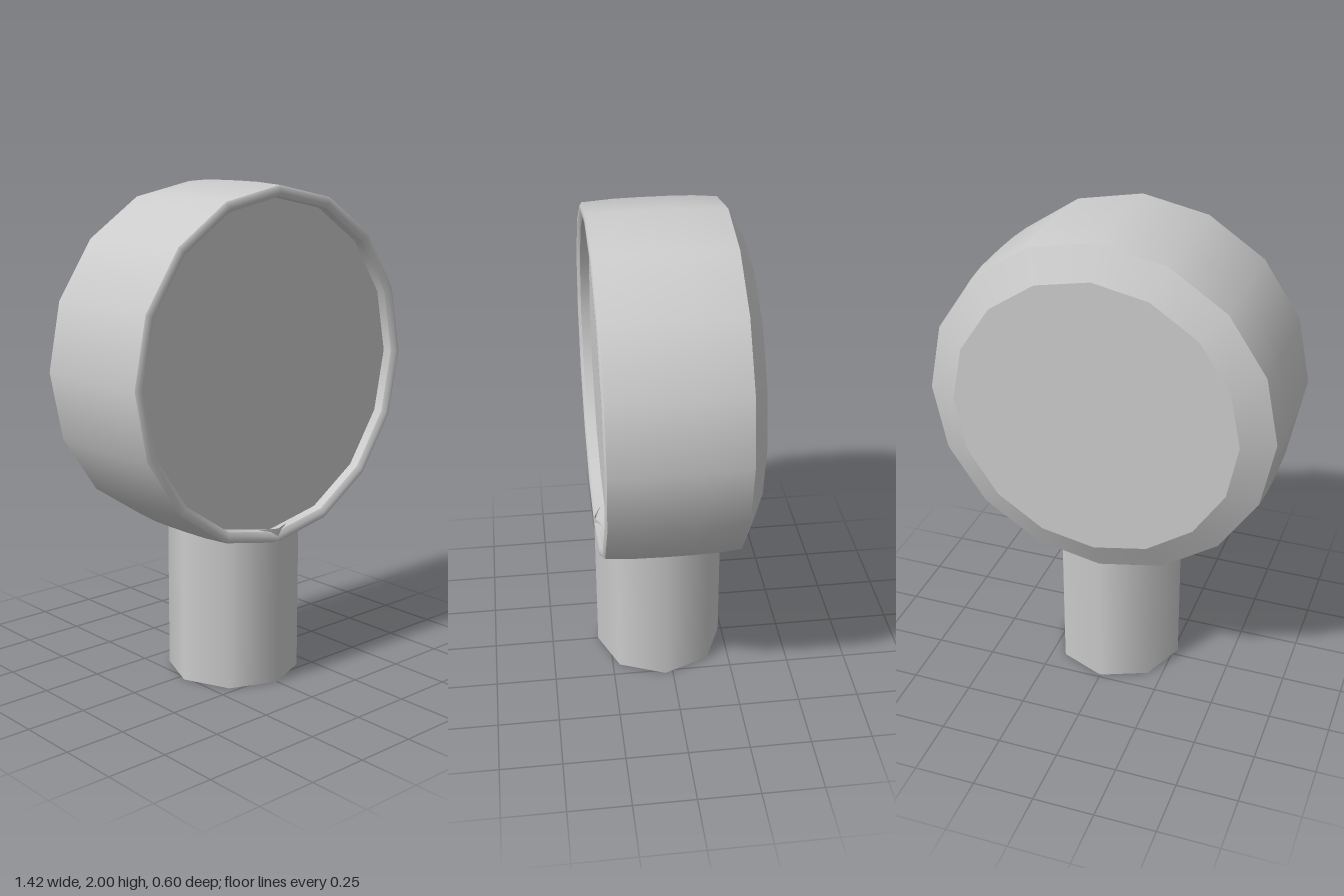
import * as THREE from 'three';

const SIDES = 16;
const CENTRE_Y = 1.29;

export function createModel() {
  const model = new THREE.Group();
  const material = new THREE.MeshStandardMaterial({ color: 0xcccccc, side: THREE.DoubleSide });

  const head = new THREE.Group();
  head.name = 'head';
  head.position.y = CENTRE_Y;
  model.add(head);

  // Each band is a [radius, z] profile turned about the z axis, back to front;
  // separate bands keep the edges between them sharp.
  const addBand = (name, profile) => {
    const points = profile.map(([r, z]) => new THREE.Vector2(r, z));
    const geometry = new THREE.LatheGeometry(points, SIDES).rotateX(Math.PI / 2);
    const mesh = new THREE.Mesh(geometry, material);
    mesh.name = name;
    head.add(mesh);
  };

  addBand('backPlate', [[0, -0.3], [0.575, -0.3]]);
  addBand('backChamfer', [[0.575, -0.3], [0.7, -0.235]]);
  // Slightly barrelled side wall
  addBand('casing', [[0.7, -0.235], [0.708, -0.14], [0.71, -0.04], [0.71, 0.06], [0.708, 0.17], [0.7, 0.292]]);
  // Rolled front rim and the short wall down to the recessed face
  addBand('frontRim', [[0.7, 0.292], [0.69, 0.3], [0.672, 0.3], [0.657, 0.288]]);
  addBand('rimInnerWall', [[0.657, 0.288], [0.655, 0.25]]);
  addBand('face', [[0.655, 0.25], [0, 0.25]]);

  // Hollow octagonal stem, open below, running just into the casing
  const stem = new THREE.Mesh(new THREE.CylinderGeometry(0.268, 0.268, 0.65, 8, 1, true), material);
  stem.name = 'stem';
  stem.position.set(0, 0.325, 0.032);
  model.add(stem);

  return model;
}
